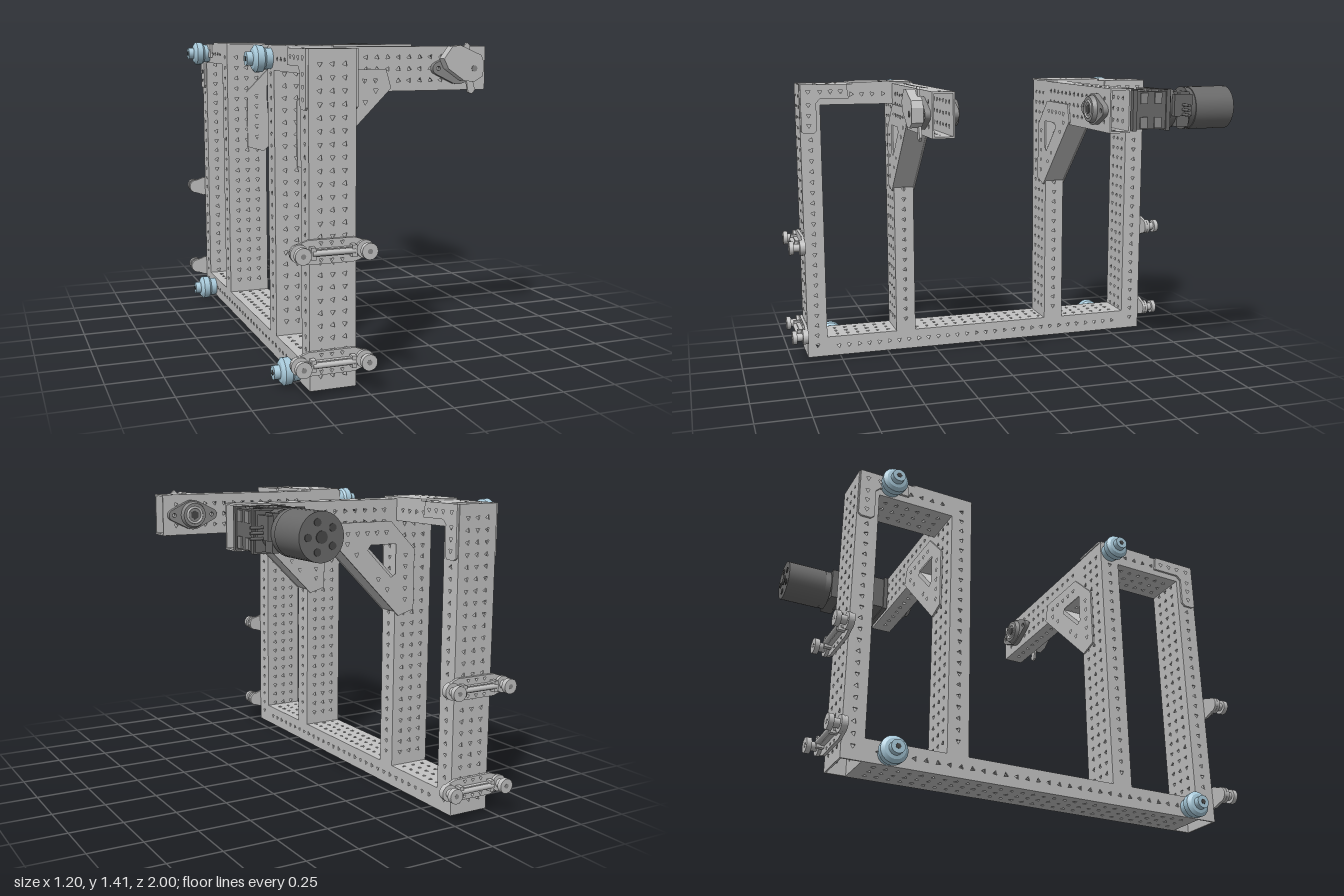
import * as THREE from 'three';
import { mergeGeometries } from 'three/addons/utils/BufferGeometryUtils.js';

const mat = (name, color) => {
  const m = new THREE.MeshStandardMaterial({ color });
  m.name = name;
  return m;
};

export function createModel() {
  const model = new THREE.Group();
  model.name = 'perforatedTubeFrame';
  const steel = mat('light grey metal', 0xc2c2c2);
  const dark = mat('dark grey motor', 0x6a6a6a);
  const mid = mat('bearing grey', 0x8a8a8a);
  const black = mat('recess grey', 0x484848);
  const blue = mat('pale blue', 0xa9cbdc);

  const add = (name, geo, material, x = 0, y = 0, z = 0, parent = model) => {
    const m = new THREE.Mesh(geo, material);
    m.name = name;
    m.position.set(x, y, z);
    parent.add(m);
    return m;
  };
  const box = (name, w, h, d, material, x, y, z, parent) =>
    add(name, new THREE.BoxGeometry(w, h, d), material, x, y, z, parent);
  // Cylinder along a chosen axis
  const cyl = (name, r1, r2, len, axis, material, x, y, z, parent, n = 24) => {
    const g = new THREE.CylinderGeometry(r1, r2, len, n);
    if (axis === 'z') g.rotateX(Math.PI / 2);
    if (axis === 'x') g.rotateZ(-Math.PI / 2);
    return add(name, g, material, x, y, z, parent);
  };
  const poly = (pts) => new THREE.Shape(pts.map(([x, y]) => new THREE.Vector2(x, y)));
  const extrude = (shape, depth) =>
    new THREE.ExtrudeGeometry(shape, { depth, bevelEnabled: false, curveSegments: 8 });
  const punch = (shape, x, y, r = 0.0125, turn = 0.5) => {
    const p = new THREE.Path();
    for (let i = 0; i < 3; i++) {
      const a = turn - (i * Math.PI * 2) / 3;
      const px = x + r * Math.cos(a), py = y + r * Math.sin(a);
      if (i) p.lineTo(px, py); else p.moveTo(px, py);
    }
    p.closePath();
    shape.holes.push(p);
  };

  // Perforated wall, centred, outer face at z = 0
  const T = 0.008;
  const wall = (w, len, cols) => {
    const s = poly([[-w / 2, -len / 2], [w / 2, -len / 2], [w / 2, len / 2], [-w / 2, len / 2]]);
    const rows = Math.floor((len - 0.04) / 0.0525);
    for (let r = 0; r < rows; r++)
      for (let c = 0; c < cols; c++)
        punch(s, (c - (cols - 1) / 2) * 0.0525, (r - (rows - 1) / 2) * 0.0525, 0.0125, 0.5 + 0.35 * ((r + c) % 3));
    return extrude(s, T).translate(0, 0, -T);
  };
  // Open rectangular tube 0.2 x 0.1 running along y
  const tube = (name, len, x, y, z) => {
    const W = 0.2, D = 0.1;
    const parts = [];
    for (const k of [0, 1]) {
      parts.push(wall(W, len, 3).translate(0, 0, D / 2).rotateY(k * Math.PI));
      parts.push(wall(D - 2 * T, len, 1).translate(0, 0, W / 2).rotateY(Math.PI / 2 + k * Math.PI));
    }
    return add(name, mergeGeometries(parts), steel, x, y, z);
  };

  // Base rail between the two outer posts
  tube('baseRail', 1.64, -0.385, 0.07, 0).rotation.x = Math.PI / 2;

  // Brace outline, measured from the corner between upright and arm
  const gussetShape = () => {
    const s = poly([[0.035, 0.1], [0.32, 0.1], [0.345, 0.015], [-0.015, -0.345], [-0.1, -0.32], [-0.1, -0.035]]);
    s.holes.push(new THREE.Path([[0.006, -0.006], [0.145, -0.006], [0.16, -0.03], [0.03, -0.16], [0.006, -0.145]]
      .map(([x, y]) => new THREE.Vector2(x, y))));
    for (let i = 0; i < 5; i++) {
      const u = 0.06 + i * 0.052;
      punch(s, u, 0.05);
      punch(s, -0.05, -u);
    }
    for (const u of [0.05, 0.1, 0.22, 0.27]) punch(s, u, u - 0.265);
    return s;
  };
  const bracketShape = () => {
    const s = poly([[0.68, 1.33], [0.69, 1.4], [0.915, 1.4], [0.915, 1.17], [0.9, 1.16], [0.855, 1.16], [0.84, 1.175],
      [0.84, 1.31], [0.82, 1.33]]);
    for (const [a, b] of [[0.72, 1.365], [0.77, 1.365], [0.82, 1.365], [0.878, 1.365], [0.878, 1.3], [0.878, 1.25], [0.878, 1.2]])
      punch(s, a, b);
    return s;
  };

  // Roller guide carried on the outer face of a post
  const roller = (y, s) => {
    const g = new THREE.Group();
    g.name = 'rollerGuide';
    const plate = new THREE.Shape();
    plate.absarc(0.14, 0, 0.036, -Math.PI / 2, Math.PI / 2, false);
    plate.lineTo(0.1, 0.05);
    plate.lineTo(-0.1, 0.05);
    plate.absarc(-0.14, 0, 0.036, Math.PI / 2, Math.PI * 1.5, false);
    plate.lineTo(-0.1, -0.05);
    plate.lineTo(0.1, -0.05);
    for (const x of [-0.045, 0, 0.045]) {
      punch(plate, x, 0.035, 0.01);
      punch(plate, x, -0.035, 0.01);
    }
    add('guidePlate', extrude(plate, 0.014), steel, 0, 0, 0.001, g);
    box('guideBlock', 0.2, 0.03, 0.022, steel, 0, 0, 0.024, g);
    cyl('guideRod', 0.012, 0.012, 0.18, 'x', steel, 0, 0, 0.04, g, 12);
    for (const x of [-0.14, 0.14]) {
      box('rodClamp', 0.02, 0.05, 0.035, steel, x * 0.62, 0, 0.03, g);
      cyl('rollerStem', 0.02, 0.02, 0.05, 'z', steel, x, 0, 0.04, g);
      cyl('rollerFlange', 0.038, 0.038, 0.014, 'z', steel, x, 0, 0.022, g);
      cyl('rollerCap', 0.034, 0.034, 0.022, 'z', steel, x, 0, 0.069, g);
      cyl('rollerBore', 0.011, 0.011, 0.002, 'z', mid, x, 0, 0.0795, g, 12);
    }
    g.position.set(-0.395, y, s * 0.92);
    if (s < 0) g.rotation.y = Math.PI;
    if (s < 0) g.position.x = -0.395;
    model.add(g);
  };

  // Two mirrored portal frames with arms
  for (const s of [1, -1]) {
    tube('outerPost', 1.38, -0.385, 0.71, s * 0.87);
    tube('innerPost', 1.28, -0.385, 0.76, s * 0.41);
    tube('topRail', 0.36, -0.385, 1.35, s * 0.64).rotation.x = Math.PI / 2;
    tube('arm', 0.82, 0.125, 1.3, s * 0.41).rotation.z = -Math.PI / 2;

    // Folded cap over the top joint
    const cap = poly([[-0.1, -0.15], [-0.085, -0.16], [0.085, -0.16], [0.1, -0.15], [0.1, 0.14], [0.085, 0.155], [-0.085, 0.155], [-0.1, 0.14]]);
    for (let r = -2; r <= 2; r++) for (const c of [-1, 0, 1]) punch(cap, c * 0.0525, r * 0.0525);
    add('topCap', extrude(cap, 0.009), steel, -0.385, 1.4, s * 0.51).rotation.x = -Math.PI / 2;

    // Angle brackets on both side faces of the outer post
    for (const x of [-0.495, -0.285]) {
      const g = extrude(bracketShape(), 0.01).rotateY(-Math.PI / 2).translate(0.01, 0, 0);
      if (s < 0) g.rotateY(Math.PI).scale(1, 1, 1).translate(0.01, 0, 0);
      add('angleBracket', g, steel, x, 0, 0);
    }

    // Diagonal brace and its side plates
    const strut = poly([[-0.285, 0.875], [0.04, 1.2], [-0.115, 1.2], [-0.285, 1.03]]);
    add('diagonalBrace', extrude(strut, 0.1), steel, 0, 0, s * 0.41 - 0.05);
    for (const k of [1, -1])
      add('bracePlate', extrude(gussetShape(), 0.008), steel, -0.285, 1.2, s * 0.41 + k * 0.054 - 0.004);

    for (const y of [0.6, 0.14]) roller(y, s);
  }

  // Flanged shaft bearings
  const flange = () => {
    const f = new THREE.Shape();
    f.absarc(0.1, 0, 0.028, -1.1, 1.1, false);
    f.absarc(0, 0, 0.072, 1.1, Math.PI - 1.1, false);
    f.absarc(-0.1, 0, 0.028, Math.PI - 1.1, Math.PI + 1.1, false);
    f.absarc(0, 0, 0.072, Math.PI + 1.1, Math.PI * 2 - 1.1, false);
    for (const x of [-0.1, 0.1]) {
      const h = new THREE.Path();
      h.absarc(x, 0, 0.01, 0, Math.PI * 2, true);
      f.holes.push(h);
    }
    return extrude(f, 0.025);
  };
  const bearing = (z, dir) => {
    const g = new THREE.Group();
    g.name = 'flangeBearing';
    add('bearingFlange', flange(), mid, 0, 0, 0, g);
    cyl('bearingHub', 0.058, 0.066, 0.022, 'z', mid, 0, 0, 0.034, g);
    const ring = new THREE.TorusGeometry(0.038, 0.006, 8, 24);
    add('bearingRing', ring, steel, 0, 0, 0.044, g);
    cyl('bearingBore', 0.022, 0.022, 0.004, 'z', black, 0, 0, 0.045, g, 6);
    g.position.set(0.385, 1.3, z);
    if (dir < 0) g.rotation.y = Math.PI;
    model.add(g);
  };
  bearing(0.36, -1);
  bearing(-0.36, 1);
  add('outerFlange', flange(), mid, 0.385, 1.3, 0.461);

  // Sensor housing and lever on the outside of the front arm
  const cover = poly([[0.288, 1.345], [0.33, 1.4], [0.37, 1.405], [0.475, 1.36], [0.488, 1.33], [0.485, 1.265], [0.44, 1.24], [0.39, 1.245], [0.31, 1.3]]);
  add('sensorHousing', extrude(cover, 0.052), steel, 0, 0, 0.486);
  cyl('sensorShaft', 0.014, 0.014, 0.004, 'z', mid, 0.44, 1.3, 0.539, model, 12);
  const lever = poly([[0.405, 1.4], [0.42, 1.417], [0.435, 1.405], [0.44, 1.36], [0.465, 1.31], [0.452, 1.25], [0.465, 1.2], [0.45, 1.183],
    [0.43, 1.19], [0.42, 1.25], [0.425, 1.35]]);
  add('sensorLever', extrude(lever, 0.012), steel, 0, 0, 0.488);

  // Gear motor behind the rear arm
  const motor = new THREE.Group();
  motor.name = 'gearMotor';
  motor.position.set(0.43, 1.3, 0);
  model.add(motor);
  box('gearbox', 0.225, 0.17, 0.19, dark, 0, 0, -0.56, motor);
  box('gearboxFrontPlate', 0.24, 0.185, 0.02, dark, 0, 0, -0.475, motor);
  box('gearboxRearPlate', 0.24, 0.185, 0.02, dark, 0, 0, -0.64, motor);
  for (const x of [-0.055, 0.055]) for (const z of [-0.52, -0.59]) {
    box('gearboxTopBlock', 0.05, 0.01, 0.035, mid, x, 0.088, z, motor);
    box('gearboxSideBlock', 0.01, 0.05, 0.035, mid, 0.115, x, z, motor);
  }
  cyl('motorAdapter', 0.09, 0.09, 0.06, 'z', dark, 0, 0, -0.68, motor);
  box('encoderBody', 0.18, 0.16, 0.06, dark, 0, 0, -0.73, motor);
  box('cableBlock', 0.025, 0.1, 0.09, dark, 0.1, 0.02, -0.72, motor);
  cyl('motorCollar', 0.1, 0.095, 0.03, 'z', dark, 0, 0, -0.78, motor, 32);
  cyl('motorCan', 0.1, 0.1, 0.195, 'z', dark, 0, 0, -0.892, motor, 32);
  for (const y of [-0.022, 0, 0.022]) cyl('cablePin', 0.007, 0.007, 0.06, 'x', dark, 0.14, y, -0.72, motor, 10);
  // End face vents and hub
  cyl('motorEndHub', 0.025, 0.025, 0.006, 'z', black, 0, 0, -0.99, motor);
  for (let i = 0; i < 5; i++) {
    const a = (i * Math.PI * 2) / 5;
    cyl('motorVent', 0.016, 0.016, 0.004, 'z', black, 0.06 * Math.cos(a), 0.06 * Math.sin(a), -0.99, motor, 10);
  }

  // Blue wheel hubs on the rear faces of the frame
  const hubProfile = [[0, 0], [0.045, 0], [0.048, 0.03], [0.058, 0.04], [0.06, 0.07], [0.045, 0.082], [0.03, 0.085], [0.03, 0.112], [0, 0.112]]
    .map(([r, h]) => new THREE.Vector2(r, h));
  for (const [y, z] of [[1.35, -0.77], [1.35, 0.41], [0.065, 0.77], [0.065, -0.72]]) {
    const g = new THREE.Group();
    g.name = 'wheelHub';
    const parts = [];
    for (let i = 0; i < hubProfile.length - 1; i++)
      parts.push(new THREE.LatheGeometry([hubProfile[i], hubProfile[i + 1]], 20));
    add('hubBody', mergeGeometries(parts).rotateZ(Math.PI / 2), blue, 0, 0, 0, g);
    cyl('hubBore', 0.012, 0.012, 0.004, 'x', black, -0.112, 0, 0, g, 6);
    g.position.set(-0.485, y, z);
    model.add(g);
  }
  return model;
}
